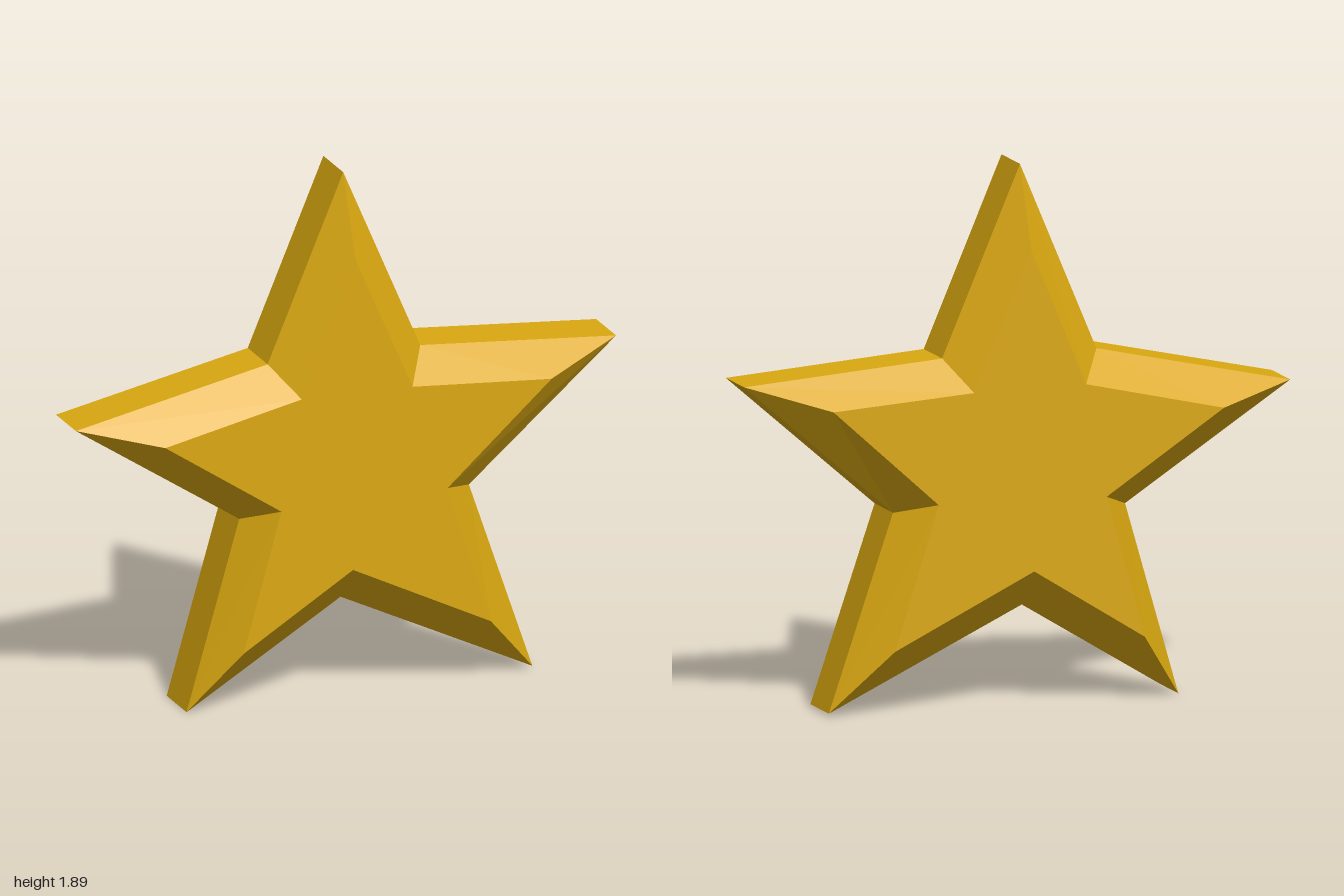
import * as THREE from 'three';

// Slightly irregular star outlines, clockwise from the top tip: tip, notch, tip, ...
const RIM = [
  [-0.01, 1.90], [0.275, 1.235], [1.0, 1.18], [0.455, 0.705], [0.69, 0.015],
  [-0.02, 0.355], [-0.59, 0.005], [-0.395, 0.685], [-1.0, 1.08], [-0.29, 1.235],
];
const FACE = [
  [-0.01, 1.615], [0.2, 1.13], [0.715, 1.095], [0.33, 0.745], [0.49, 0.24],
  [-0.02, 0.49], [-0.425, 0.235], [-0.285, 0.735], [-0.715, 1.02], [-0.21, 1.135],
];
const RIM_Z = 0.094;
const FACE_Z = 0.213;

function flatGeometry(triangles) {
  const g = new THREE.BufferGeometry().setFromPoints(triangles);
  g.computeVertexNormals();
  return g;
}

// Band of quads between a front loop and the loop behind it
function band(front, back) {
  const out = [];
  front.forEach((a, i) => {
    const j = (i + 1) % front.length;
    out.push(a, front[j], back[i], front[j], back[j], back[i]);
  });
  return flatGeometry(out);
}

// Flat star face, fanned from its middle
function cap(loop, isFront) {
  const mid = new THREE.Vector3(0, 0.85, loop[0].z);
  const out = [];
  loop.forEach((a, i) => {
    const b = loop[(i + 1) % loop.length];
    out.push(mid, ...(isFront ? [b, a] : [a, b]));
  });
  return flatGeometry(out);
}

export function createModel() {
  const group = new THREE.Group();
  group.name = 'star';
  const gold = new THREE.MeshStandardMaterial({ color: 0xdaa810, flatShading: true });

  const loop = (points, z) => points.map(([x, y]) => new THREE.Vector3(x, y, z));
  const add = (name, geometry) => {
    const mesh = new THREE.Mesh(geometry, gold);
    mesh.name = name;
    group.add(mesh);
  };

  const frontFace = loop(FACE, FACE_Z);
  const frontRim = loop(RIM, RIM_Z);
  const backRim = loop(RIM, -RIM_Z);
  const backFace = loop(FACE, -FACE_Z);

  add('frontFace', cap(frontFace, true));
  add('frontBevel', band(frontFace, frontRim));
  add('rim', band(frontRim, backRim));
  add('backBevel', band(backRim, backFace));
  add('backFace', cap(backFace, false));
  return group;
}
